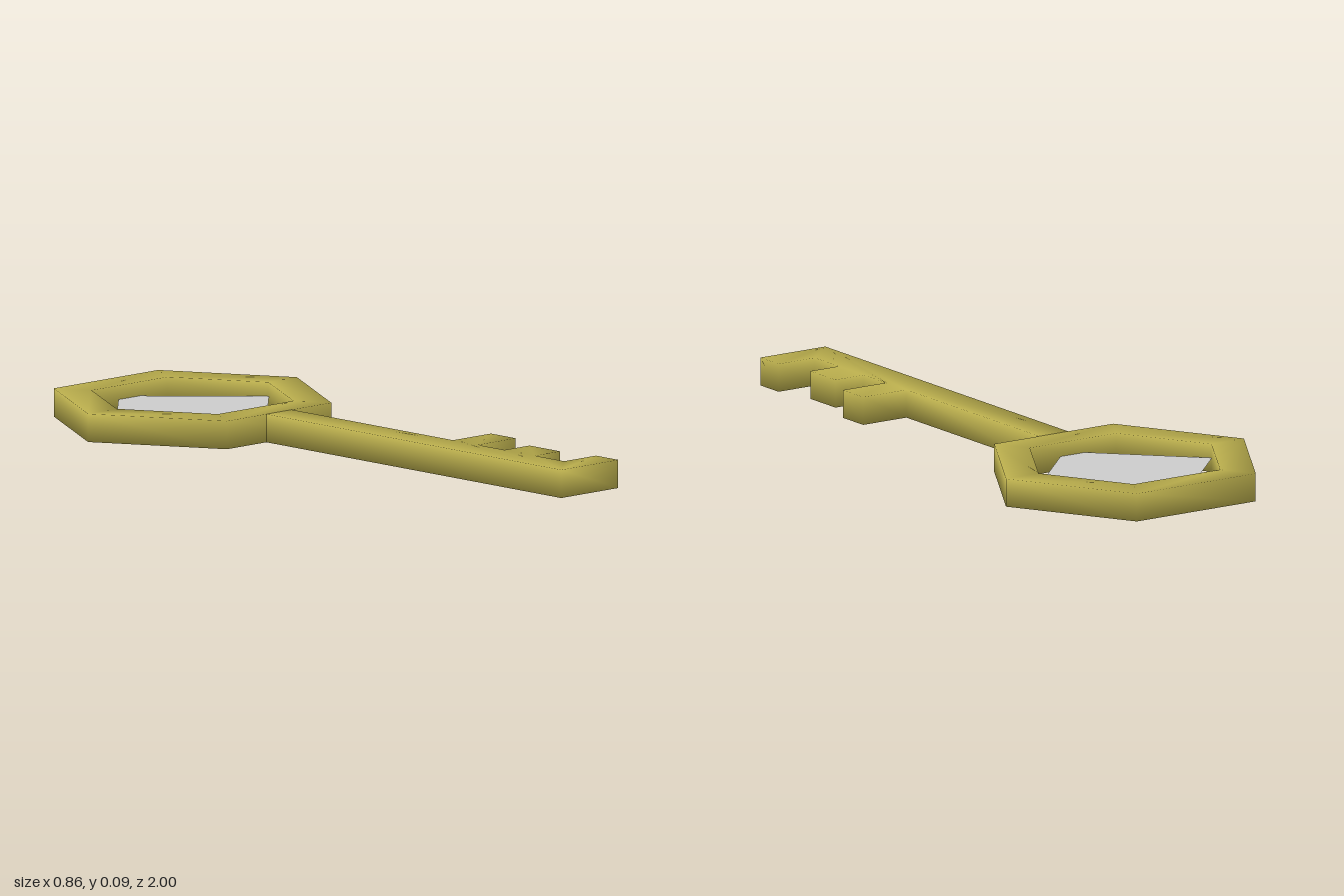
import * as THREE from 'three';
import { mergeVertices } from 'three/addons/utils/BufferGeometryUtils.js';

const HEIGHT = 0.085;
const BOW_Z = -0.63; // centre of the hexagonal bow

// Corners of a hexagon with points on the x axis, in plan (x, -z)
function hexagon(rx, halfDepth) {
  return [[rx, 0], [rx / 2, 1], [-rx / 2, 1], [-rx, 0], [-rx / 2, -1], [rx / 2, -1]]
    .map(([x, d]) => new THREE.Vector2(x, -BOW_Z + d * halfDepth));
}

// Flat extrusion lying on the ground, with normals shared across its edges
function slab(shape) {
  let geometry = new THREE.ExtrudeGeometry(shape, { depth: HEIGHT, bevelEnabled: false });
  geometry.rotateX(-Math.PI / 2);
  geometry.deleteAttribute('normal');
  geometry.deleteAttribute('uv');
  geometry = mergeVertices(geometry, 1e-4);
  geometry.computeVertexNormals();
  return geometry;
}

export function createModel() {
  const key = new THREE.Group();
  key.name = 'key';
  const brass = new THREE.MeshStandardMaterial({ color: 0xb8ac4c });
  const grey = new THREE.MeshStandardMaterial({ color: 0xcccccc, side: THREE.DoubleSide });

  function add(name, geometry, material) {
    const mesh = new THREE.Mesh(geometry, material);
    mesh.name = name;
    key.add(mesh);
    return mesh;
  }

  // Hexagonal bow with a hexagonal opening
  const bow = new THREE.Shape(hexagon(0.43, 0.37));
  bow.holes.push(new THREE.Path(hexagon(0.312, 0.27)));
  add('bow', slab(bow), brass);

  // Shaft and its teeth as one outline: [start z, end z, reach in x]
  const half = 0.052;
  const teeth = [[0.905, 1, 0.183], [0.65, 0.78, 0.155], [0.43, 0.535, 0.208]];
  const outline = [[-half, -0.26], [-half, 1]];
  for (const [z0, z1, reach] of teeth) {
    if (z1 < 1) outline.push([half, z1]);
    outline.push([reach, z1], [reach, z0], [half, z0]);
  }
  outline.push([half, -0.26]);
  add('shaft', slab(new THREE.Shape(outline.map(([x, z]) => new THREE.Vector2(x, -z)))), brass);

  // Thin diamond pane whose front and back corners sit inside the bow
  const pane = add('pane', new THREE.CircleGeometry(0.315, 4).rotateX(-Math.PI / 2), grey);
  pane.position.set(0, HEIGHT / 2, BOW_Z);

  return key;
}
